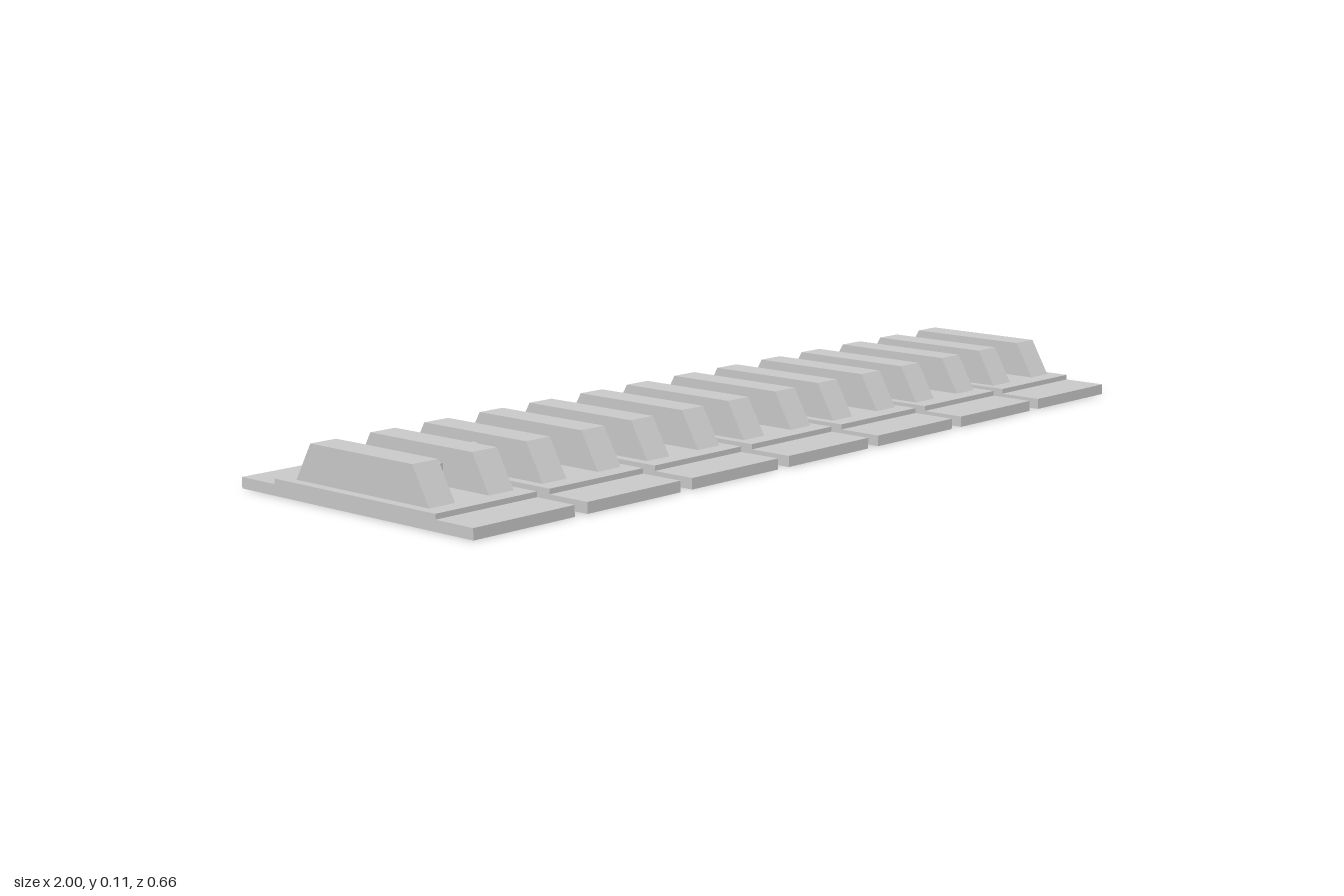
import * as THREE from 'three';

const material = new THREE.MeshStandardMaterial({ color: 0xcccccc });
const COUNT = 7;
const WIDTH = 0.257;
const PITCH = (2 - WIDTH) / (COUNT - 1);

// Extrudes a (z, y) side outline along x, centred on x = 0.
function sideExtrusion(points, width) {
  const shape = new THREE.Shape(points.map(([z, y]) => new THREE.Vector2(z, y)));
  const geometry = new THREE.ExtrudeGeometry(shape, { depth: width, bevelEnabled: false });
  return geometry.translate(0, 0, -width / 2).rotateY(-Math.PI / 2);
}

function addPart(parent, name, geometry, x = 0, y = 0, z = 0) {
  const mesh = new THREE.Mesh(geometry, material);
  mesh.name = name;
  mesh.position.set(x, y, z);
  parent.add(mesh);
}

export function createModel() {
  const model = new THREE.Group();
  model.name = 'trackSection';

  // Stepped pad and trapezoid rail outlines
  const pad = sideExtrusion([
    [-0.33, 0], [0.33, 0], [0.33, 0.023], [0.23, 0.023],
    [0.23, 0.034], [-0.23, 0.034], [-0.23, 0.023], [-0.33, 0.023],
  ], WIDTH);
  const rail = sideExtrusion([[-0.19, 0.033], [0.19, 0.033], [0.145, 0.111], [-0.145, 0.111]], 0.064);

  // H-shaped bridge between the rails, and the pin joining two links
  const bridgeSide = new THREE.BoxGeometry(0.024, 0.046, 0.126);
  const bridgeWeb = new THREE.BoxGeometry(0.04, 0.016, 0.08);
  const pin = new THREE.CylinderGeometry(0.024, 0.024, PITCH - 0.2, 24).rotateZ(Math.PI / 2);

  for (let i = 0; i < COUNT; i++) {
    const link = new THREE.Group();
    link.name = 'trackLink';
    link.position.x = (i - (COUNT - 1) / 2) * PITCH;
    addPart(link, 'pad', pad);
    for (const side of [-1, 1]) {
      addPart(link, 'rail', rail, side * 0.075);
      addPart(link, 'bridgeSide', bridgeSide, side * 0.032, 0.056);
    }
    addPart(link, 'bridgeWeb', bridgeWeb, 0, 0.058);
    if (i < COUNT - 1) addPart(link, 'connectingPin', pin, PITCH / 2, 0.067);
    model.add(link);
  }
  return model;
}
